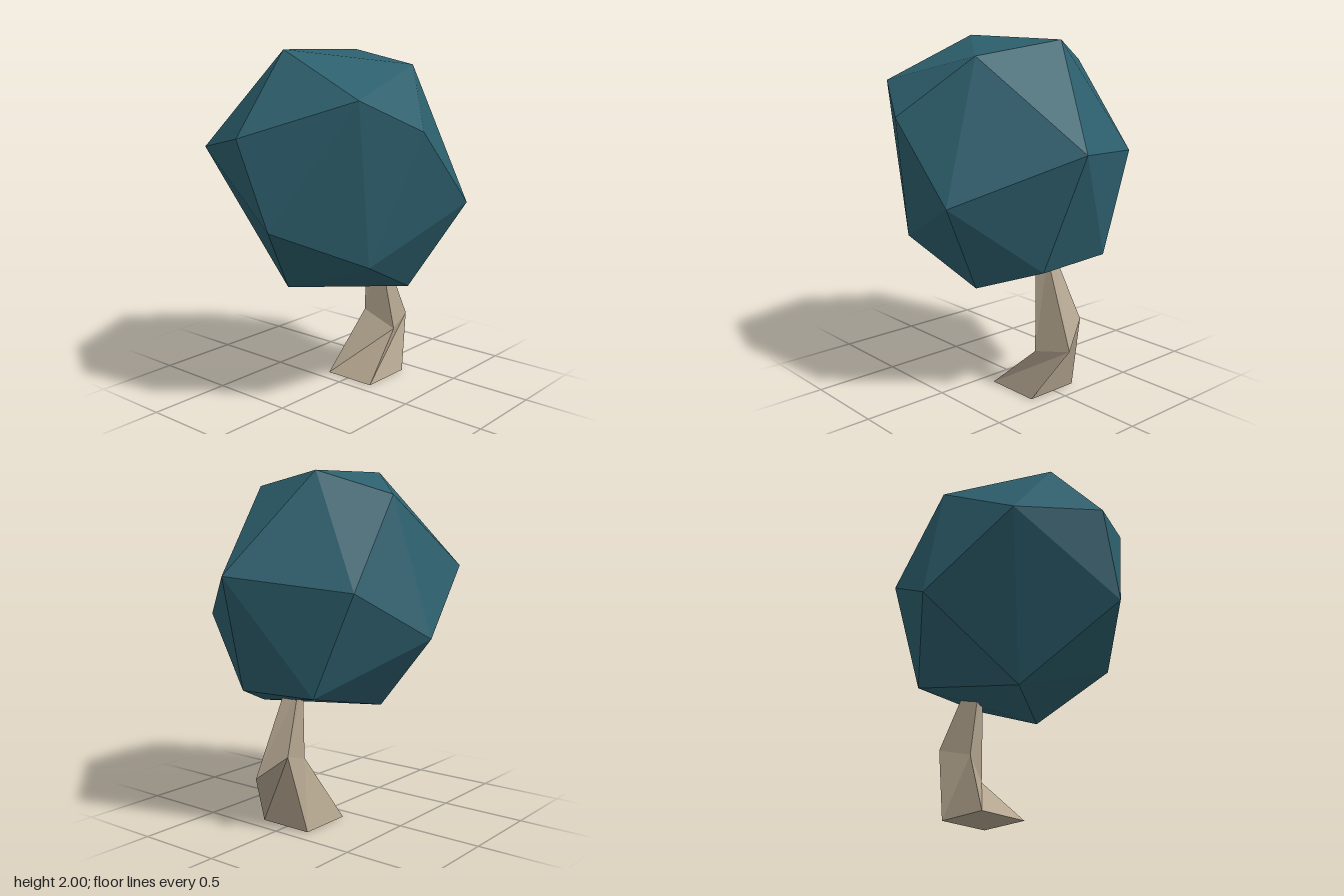
import * as THREE from 'three';
import { ConvexGeometry } from 'three/addons/geometries/ConvexGeometry.js';

// Flat-sided skin through rings of four corners (counterclockwise from above), capped at both ends
function loft(rings) {
  const pos = [];
  const quad = (a, b, c, d) => pos.push(...a, ...b, ...c, ...a, ...c, ...d);
  for (let i = 0; i + 1 < rings.length; i++) {
    const low = rings[i], high = rings[i + 1];
    for (let j = 0; j < 4; j++) {
      const k = (j + 1) % 4;
      quad(low[j], low[k], high[k], high[j]);
    }
  }
  const [a, b, c, d] = rings[0];
  quad(d, c, b, a);
  quad(...rings[rings.length - 1]);
  const geometry = new THREE.BufferGeometry();
  geometry.setAttribute('position', new THREE.Float32BufferAttribute(pos, 3));
  geometry.computeVertexNormals();
  return geometry;
}

export function createModel() {
  const group = new THREE.Group();
  group.name = 'tree';
  const add = (name, geometry, color) => {
    const mesh = new THREE.Mesh(geometry, new THREE.MeshStandardMaterial({ color, flatShading: true }));
    mesh.name = name;
    group.add(mesh);
  };

  // Bent, tapering trunk: base, elbow, and top hidden inside the crown
  add('trunk', loft([
    [[-0.15, 0, -0.08], [0.175, 0, -0.08], [0.175, 0, -0.405], [-0.15, 0, -0.405]],
    [[-0.043, 0.385, -0.3], [0.125, 0.27, -0.38], [0.064, 0.31, -0.59], [-0.1, 0.445, -0.51]],
    [[-0.011, 0.8, -0.272], [0.058, 0.8, -0.31], [0.029, 0.8, -0.374], [-0.046, 0.8, -0.354]],
  ]), 0xb3a58f);

  // Faceted crown: convex skin around its corners
  const corners = [
    // top
    [-0.06, 2, 0.39], [-0.13, 1.99, -0.3], [0.38, 1.915, -0.18], [-0.49, 1.86, -0.09], [0.51, 1.76, 0.45],
    // middle
    [0.68, 1.59, 0.13], [-0.05, 1.555, 0.76], [-0.535, 1.455, 0.545], [0.13, 1.435, -0.76],
    [-0.52, 1.36, -0.475], [0.68, 1.16, -0.3], [-0.685, 1.09, 0], [0.125, 1.075, 0.715],
    // bottom
    [0.48, 0.87, 0.32], [-0.28, 0.79, -0.51], [0.21, 0.78, -0.53], [0.38, 0.645, -0.17], [-0.19, 0.62, 0.24],
  ];
  add('crown', new ConvexGeometry(corners.map((p) => new THREE.Vector3(...p))), 0x2d5f6d);

  return group;
}
